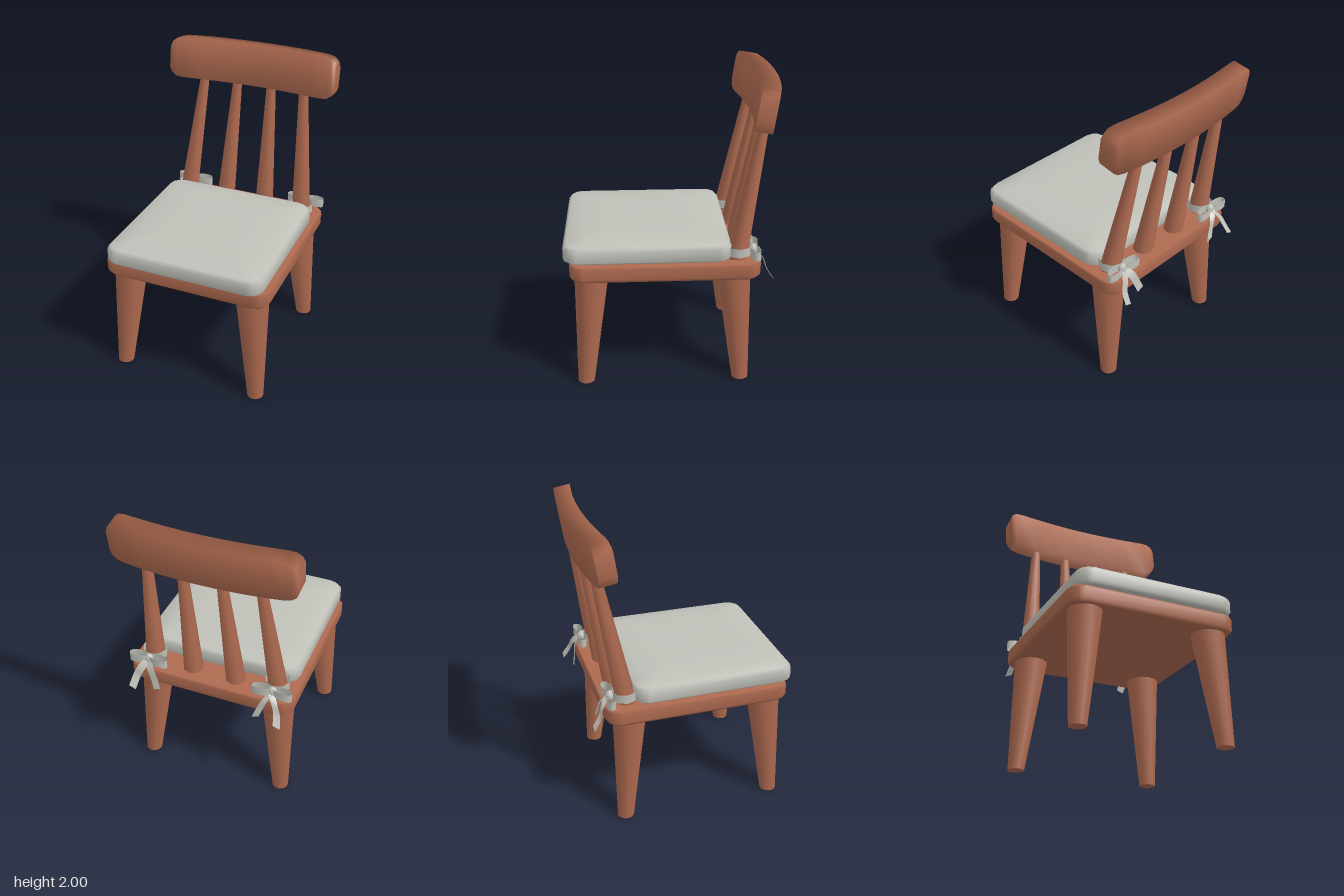
import * as THREE from 'three';

const wood = new THREE.MeshStandardMaterial({ color: 0xae6a50 });
wood.name = 'terracottaWood';
const cloth = new THREE.MeshStandardMaterial({ color: 0xbfc0b8 });
cloth.name = 'paleCloth';
const ribbonCloth = new THREE.MeshStandardMaterial({ color: 0xbfc0b8, side: THREE.DoubleSide });
ribbonCloth.name = 'paleRibbon';

function add(parent, name, geometry, material) {
  const mesh = new THREE.Mesh(geometry, material);
  mesh.name = name;
  parent.add(mesh);
  return mesh;
}

// Closed smooth skin through equal-length rings, with a fan at each end
function loft(rings) {
  const n = rings[0].length, last = (rings.length - 1) * n;
  const middle = ring => ring.reduce((s, p) => s.add(p), new THREE.Vector3()).divideScalar(n);
  const points = [...rings.flat(), middle(rings[0]), middle(rings[rings.length - 1])];
  const c0 = points.length - 2, c1 = points.length - 1, index = [];
  for (let i = 0; i < n; i++) {
    const k = (i + 1) % n;
    for (let j = 0; j < last; j += n) index.push(j + i, j + k, j + n + k, j + i, j + n + k, j + n + i);
    index.push(c0, k, i, c1, last + i, last + k);
  }
  const g = new THREE.BufferGeometry().setFromPoints(points);
  g.setIndex(index);
  g.computeVertexNormals();
  return g;
}

// Slab with rounded corners; levels are [y, inset] pairs from bottom to top
function slab(halfX, halfZ, centreZ, radius, levels) {
  const steps = 3;
  return loft(levels.map(([y, inset]) => {
    const ring = [], r = Math.max(radius - inset * 0.3, 0.03);
    for (let q = 0; q < 4; q++) {
      const sx = q === 0 || q === 3 ? 1 : -1, sz = q < 2 ? -1 : 1;
      for (let i = 0; i <= steps; i++) {
        const a = (q + i / steps) * Math.PI / 2;
        ring.push(new THREE.Vector3(sx * (halfX - inset - r) + r * Math.cos(a), y,
          centreZ + sz * (halfZ - inset - r) - r * Math.sin(a)));
      }
    }
    return ring;
  }));
}

// Tapered round bar, sheared so that its ends stay level
function strut(from, to, r0, r1, sides) {
  const h = to[1] - from[1];
  const g = new THREE.CylinderGeometry(r1, r0, h, sides);
  const p = g.attributes.position;
  for (let i = 0; i < p.count; i++) {
    const t = p.getY(i) / h + 0.5;
    p.setXYZ(i, p.getX(i) + from[0] + (to[0] - from[0]) * t, from[1] + h * t,
      p.getZ(i) + from[2] + (to[2] - from[2]) * t);
  }
  return g;
}

// Flat strip following a curve; "across" is half of its width
function ribbon(path, across, closed = false) {
  const curve = new THREE.CatmullRomCurve3(path.map(p => new THREE.Vector3(...p)), closed);
  const half = new THREE.Vector3(...across), points = [], index = [];
  curve.getPoints(10).forEach((p, i) => {
    points.push(p.clone().sub(half), p.clone().add(half));
    if (i) index.push(2 * i - 2, 2 * i, 2 * i - 1, 2 * i - 1, 2 * i, 2 * i + 1);
  });
  const g = new THREE.BufferGeometry().setFromPoints(points);
  g.setIndex(index);
  g.computeVertexNormals();
  return g;
}

// Bowed, tilted head rail built from four-cornered sections along x
function headRail() {
  const ends = [[0.6, 0.07], [0.585, 0.108], [0.555, 0.132], [0.51, 0.14], [0.38, 0.142], [0.25, 0.142], [0.12, 0.142]];
  const stations = [...ends.map(([x, h]) => [-x, h]), [0, 0.142], ...ends.slice().reverse()];
  return loft(stations.map(([x, h]) => {
    const z = -0.6175 + 0.055 * (x / 0.6) ** 2;
    return [[1, -1], [1, 1], [-1, 1], [-1, -1]].map(([u, w]) =>
      new THREE.Vector3(x, 1.852 + u * h + w * 0.009, z - u * h * 0.15 + w * 0.055));
  }));
}

export function createModel() {
  const chair = new THREE.Group();
  chair.name = 'chair';

  add(chair, 'seat', slab(0.57, 0.615, 0.035, 0.09,
    [[0.75, 0.015], [0.772, 0], [0.845, 0], [0.86, 0.008]]), wood);
  add(chair, 'cushion', slab(0.54, 0.54, 0.15, 0.09,
    [[0.86, 0.02], [0.878, 0], [0.95, 0], [0.974, 0.02], [0.99, 0.12], [1.0, 0.26]]), cloth);
  add(chair, 'headRail', headRail(), wood);

  for (const s of [1, -1]) {
    const side = s > 0 ? 'left' : 'right';

    // Legs, with upright outer edges
    add(chair, side + 'FrontLeg', strut([s * 0.487, 0, 0.565], [s * 0.43, 0.77, 0.51], 0.055, 0.112, 14), wood);
    add(chair, side + 'BackLeg', strut([s * 0.487, 0, -0.465], [s * 0.43, 0.77, -0.41], 0.055, 0.112, 14), wood);

    // Back spindles
    add(chair, side + 'OuterSpindle', strut([s * 0.438, 0.85, -0.428], [s * 0.363, 1.76, -0.59], 0.068, 0.032, 8), wood);
    add(chair, side + 'InnerSpindle', strut([s * 0.15, 0.85, -0.45], [s * 0.124, 1.76, -0.607], 0.068, 0.032, 8), wood);

    // Cushion tie: band round the spindle, knot, two loops and two tails
    const tie = new THREE.Group();
    tie.name = side + 'CushionTie';
    tie.position.set(s * 0.433, 0.91, -0.535);
    chair.add(tie);
    const band = add(tie, 'tieBand', new THREE.CylinderGeometry(0.082, 0.082, 0.06, 8, 1, true), ribbonCloth);
    band.position.z = 0.095;
    const knot = add(tie, 'tieKnot', new THREE.SphereGeometry(0.034, 8, 6), cloth);
    knot.scale.set(0.9, 1.1, 0.85);
    for (const d of [1, -1]) {
      add(tie, 'tieLoop', ribbon([[0, 0, 0.012], [d * 0.07, 0.005, 0.022], [d * 0.132, 0, 0.005],
        [d * 0.125, 0, -0.03], [d * 0.06, 0.005, -0.035], [0, 0, -0.012]], [0, 0.03, 0], true), ribbonCloth);
    }
    add(tie, 'outerTail', ribbon([[0, 0, -0.015], [s * 0.035, -0.05, -0.06], [s * 0.06, -0.11, -0.08],
      [s * 0.075, -0.18, -0.125]], [0.024, 0.01, 0]), ribbonCloth);
    add(tie, 'innerTail', ribbon([[0, 0, -0.015], [s * -0.035, -0.05, -0.055], [s * -0.06, -0.11, -0.065],
      [s * -0.085, -0.18, -0.08]], [0.024, -0.01, 0]), ribbonCloth);
  }
  return chair;
}
